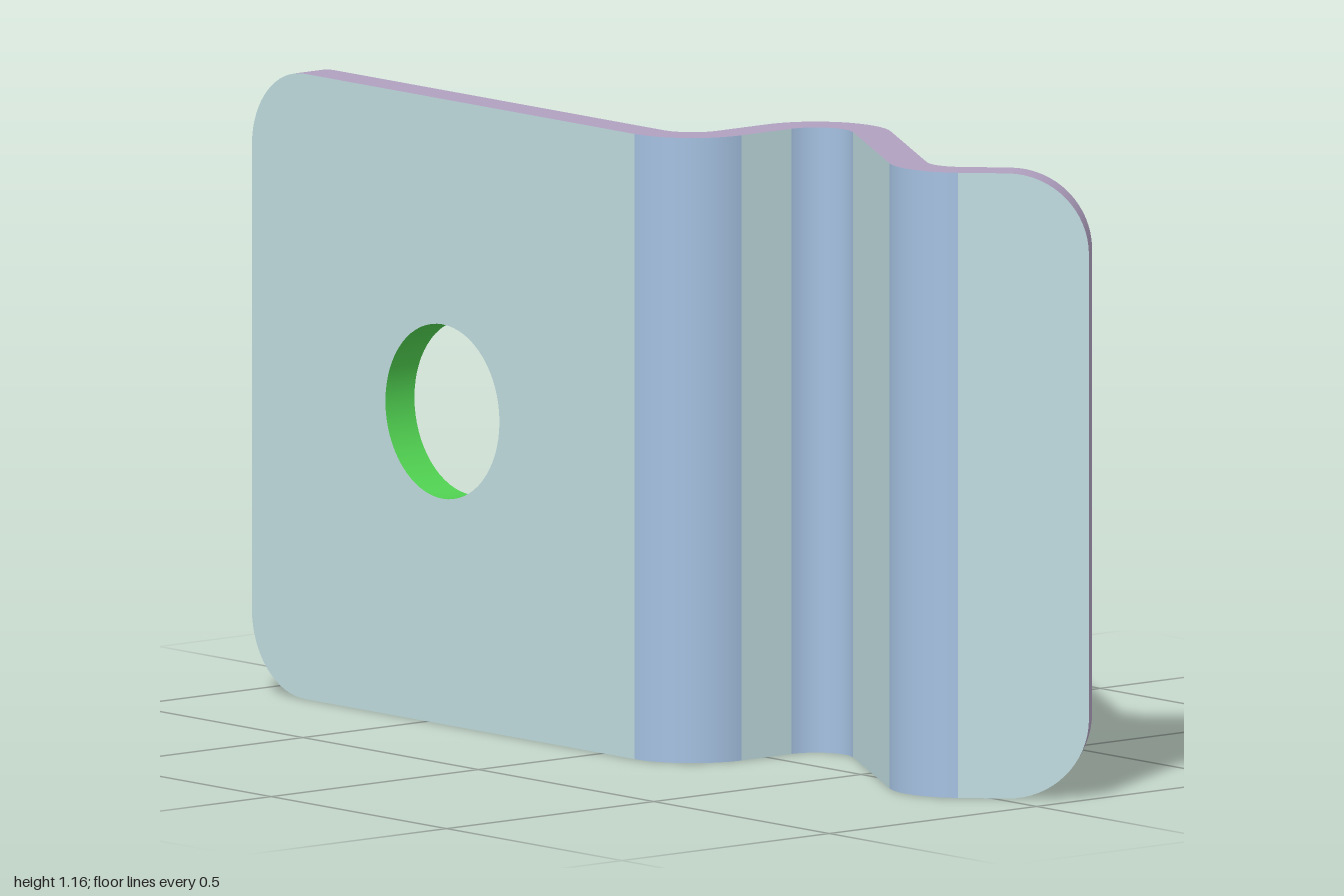
import * as THREE from 'three';

const H = 1.165, T = 0.07, R = 0.15, BEND = 0.105, DEG = Math.PI / 180;
const HOLE = { x: -0.457, y: H / 2, r: 0.1625 };

// Centreline of the sheet: straight runs (len) and bends (turn), from left to right
const sections = [
  { name: 'mountingPlate', len: 1.09, turn: 0 },
  { name: 'firstBend', turn: -90 },
  { name: 'stepWall', len: 0.12, turn: 0 },
  { name: 'crestBend', turn: 120 },
  { name: 'slopedPlate', len: 0.375, turn: 0 },
  { name: 'valleyBend', turn: -75 },
  { name: 'endLip', len: 0.242, turn: 0 },
];

// Half height of the outline and its outward normal, at distance d from a rounded end
function corner(d) {
  const k = Math.max(0, (R - d) / R);
  const c = Math.sqrt(1 - k * k);
  return { half: H / 2 - R + R * c, along: k, up: c };
}

// Stations along each section: position, heading, outline height and edge normal
function buildStations() {
  let x = -1, z = 0.165, a = 0;
  sections.forEach((sec, i) => {
    const turn = sec.turn * DEG;
    let ts = [0, 1];
    if (turn) ts = Array.from({ length: 17 }, (_, j) => j / 16);
    const arc = Array.from({ length: 17 }, (_, j) => R * (1 - Math.cos((j / 16) * Math.PI / 2)));
    if (i === 0) ts = [...arc.map((d) => d / sec.len), 1];
    if (i === sections.length - 1) ts = [0, ...arc.map((d) => 1 - d / sec.len).reverse()];
    const at = (t) => {
      if (!turn) return [x + Math.cos(a) * sec.len * t, z + Math.sin(a) * sec.len * t, a];
      const sg = Math.sign(turn), b = a + turn * t;
      return [x + sg * BEND * (Math.sin(b) - Math.sin(a)), z - sg * BEND * (Math.cos(b) - Math.cos(a)), b];
    };
    sec.stations = ts.map((t) => {
      const [px, pz, h] = at(t);
      let c = corner(R), dir = 0;
      if (i === 0) { c = corner(t * sec.len); dir = -1; }
      if (i === sections.length - 1) { c = corner((1 - t) * sec.len); dir = 1; }
      return { x: px, z: pz, h, half: c.half, along: dir * c.along, up: c.up };
    });
    [x, z, a] = at(1);
  });
}

// Point on the sheet: side +1 is the front skin, -1 the back; v +1 is the top, -1 the bottom
const point = (s, side, v) => [
  s.x - Math.sin(s.h) * side * T / 2, H / 2 + v * s.half, s.z + Math.cos(s.h) * side * T / 2,
];

// Strip of quads between paired points that share a normal
function ribbon(rows) {
  const pos = [], nor = [], idx = [];
  rows.forEach(({ a, b, n }, i) => {
    pos.push(...a, ...b);
    nor.push(...n, ...n);
    const k = 2 * i;
    if (i < rows.length - 1) idx.push(k, k + 2, k + 1, k + 2, k + 3, k + 1);
  });
  const g = new THREE.BufferGeometry();
  g.setAttribute('position', new THREE.Float32BufferAttribute(pos, 3));
  g.setAttribute('normal', new THREE.Float32BufferAttribute(nor, 3));
  g.setIndex(idx);
  return g;
}

const skin = (stations, side) => ribbon(stations.map((s) => ({
  a: point(s, side, -side),
  b: point(s, side, side),
  n: [-Math.sin(s.h) * side, 0, Math.cos(s.h) * side],
})));

// Rounded plate skin with the round hole
function plateSkin(stations, side) {
  const top = stations.map((s) => new THREE.Vector2(s.x, H / 2 + s.half));
  const bottom = stations.map((s) => new THREE.Vector2(s.x, H / 2 - s.half)).reverse();
  const shape = new THREE.Shape([...top, ...bottom]);
  shape.holes.push(new THREE.Path().absarc(HOLE.x, HOLE.y, HOLE.r, 0, Math.PI * 2, true));
  const g = new THREE.ShapeGeometry(shape, 32);
  if (side < 0) {
    g.index.array.reverse();
    g.attributes.normal.array.forEach((v, i, arr) => { arr[i] = -v; });
  }
  return g.translate(0, 0, stations[0].z + side * T / 2);
}

export function createModel() {
  const group = new THREE.Group();
  const material = (color) => new THREE.MeshStandardMaterial({ color });
  const flat = material(0xc0dce0), bend = material(0xa4c0e0);
  const edge = material(0xb0a0c0), green = material(0x50d050);
  const add = (name, geometry, mat) => {
    const mesh = new THREE.Mesh(geometry, mat);
    mesh.name = name;
    group.add(mesh);
  };
  buildStations();

  // Front and back skins of every run and bend
  sections.forEach((sec, i) => {
    for (const side of [1, -1]) {
      const make = i === 0 ? plateSkin : skin;
      add(sec.name + (side > 0 ? 'Front' : 'Back'), make(sec.stations, side), sec.turn ? bend : flat);
    }
  });

  // Thin edge running all round the outline
  const all = sections.flatMap((s) => s.stations);
  const edgeRow = (s, v) => ({
    a: point(s, 1, v),
    b: point(s, -1, v),
    n: [Math.cos(s.h) * s.along, v * s.up, Math.sin(s.h) * s.along],
  });
  const loop = [...all.map((s) => edgeRow(s, 1)), ...[...all].reverse().map((s) => edgeRow(s, -1))];
  add('sheetEdge', ribbon([...loop, loop[0]]), edge);

  // Wall of the hole
  const z = all[0].z;
  const wall = Array.from({ length: 65 }, (_, i) => {
    const t = (i / 64) * Math.PI * 2, c = Math.cos(t), s = Math.sin(t);
    const x = HOLE.x + HOLE.r * c, y = HOLE.y + HOLE.r * s;
    return { a: [x, y, z + T / 2], b: [x, y, z - T / 2], n: [-c, -s, 0] };
  });
  add('holeWall', ribbon(wall), green);
  return group;
}
